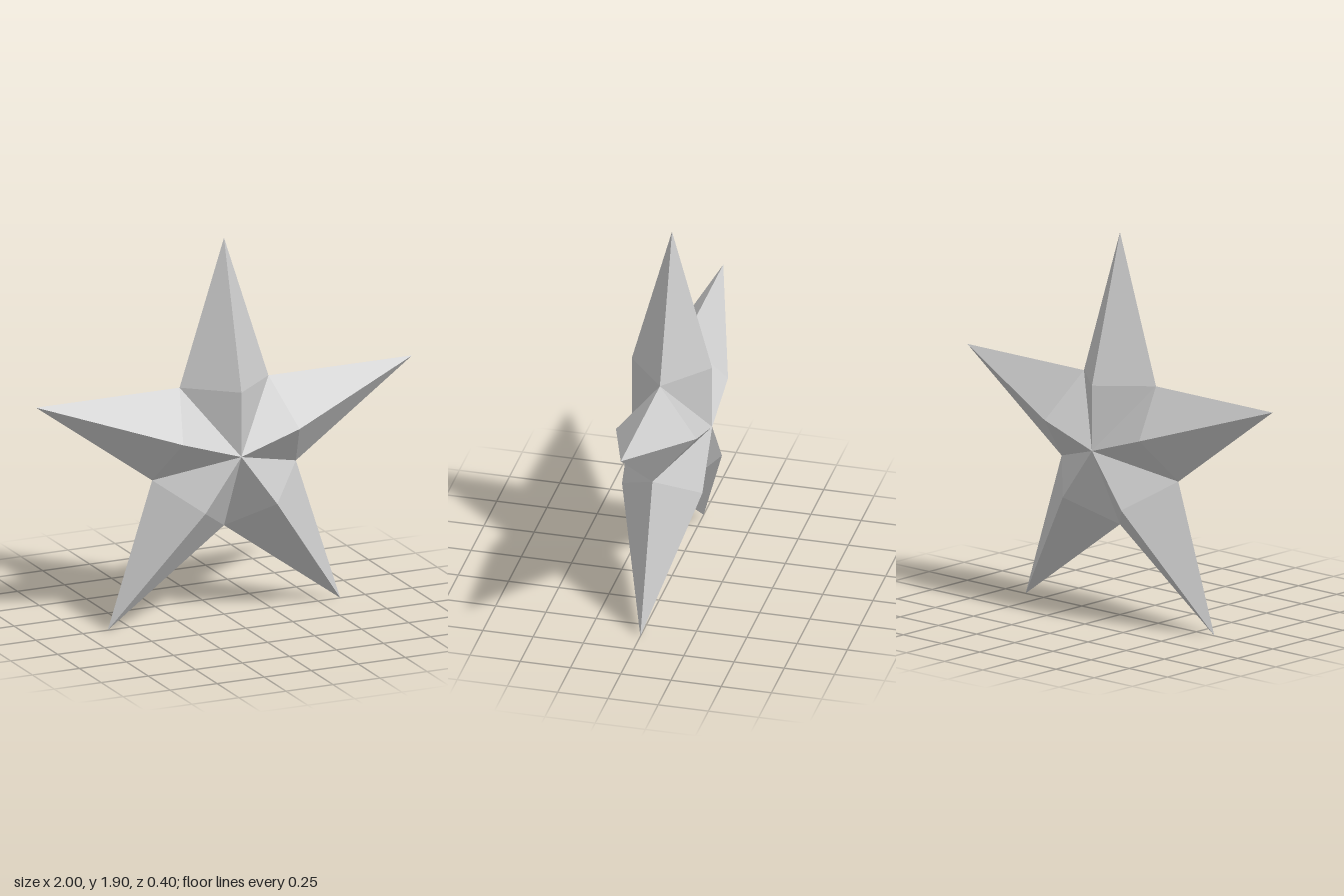
import * as THREE from 'three';

const TIP = 1 / Math.sin(Math.PI * 0.4); // tip radius, giving a 2 unit span
const NOTCH = TIP * 0.382;               // radius of the notches between arms
const RIDGE = NOTCH * Math.cos(Math.PI / 5); // where each ridge starts to fall to the tip
const DEPTH = 0.2;                       // half thickness

const polar = (r, a, z) => [r * Math.sin(a), r * Math.cos(a), z];

// One upright arm: four facets running to the tip and four meeting at the hub
function armGeometry() {
  const positions = [];
  for (const z of [DEPTH, -DEPTH]) {
    for (const side of [1, -1]) {
      const hub = [0, 0, z];
      const ridge = [0, RIDGE, z];
      const tip = [0, TIP, 0];
      const notch = polar(NOTCH, side * Math.PI / 5, 0);
      const flip = side * z < 0;
      for (const [a, b, c] of [[hub, notch, ridge], [ridge, notch, tip]]) {
        positions.push(...a, ...(flip ? c : b), ...(flip ? b : c));
      }
    }
  }
  const geometry = new THREE.BufferGeometry();
  geometry.setAttribute('position', new THREE.Float32BufferAttribute(positions, 3));
  geometry.computeVertexNormals();
  return geometry;
}

export function createModel() {
  const star = new THREE.Group();
  star.name = 'star';
  const material = new THREE.MeshStandardMaterial({ color: 0xcccccc, flatShading: true });
  const geometry = armGeometry();

  // Five arms turned around the hub
  const names = ['topArm', 'upperLeftArm', 'lowerLeftArm', 'lowerRightArm', 'upperRightArm'];
  names.forEach((name, i) => {
    const arm = new THREE.Mesh(geometry, material);
    arm.name = name;
    arm.position.y = TIP * Math.cos(Math.PI / 5); // lower tips rest on the ground
    arm.rotation.z = -i * Math.PI * 0.4;
    star.add(arm);
  });
  return star;
}
